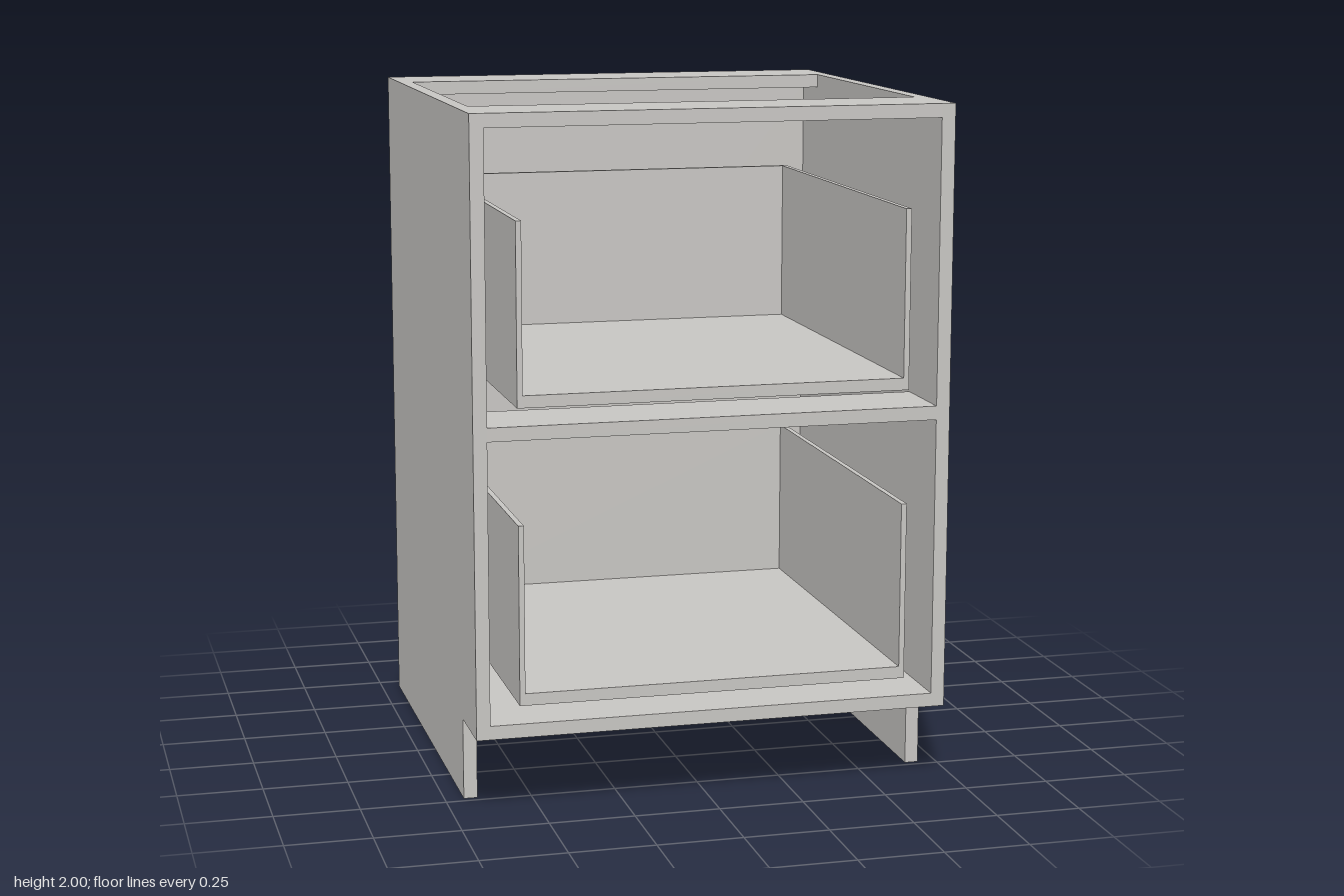
import * as THREE from 'three';

export function createModel() {
  const model = new THREE.Group();
  model.name = 'drawerCabinet';
  const panelGrey = new THREE.MeshStandardMaterial({ color: 0xc8c6c3 });
  panelGrey.name = 'panelGrey';

  const W = 0.695, D = 0.695, T = 0.04, IN = W - T;

  // Box given by its minimum and maximum corners
  function panel(name, [x0, y0, z0], [x1, y1, z1], parent = model) {
    const mesh = new THREE.Mesh(new THREE.BoxGeometry(x1 - x0, y1 - y0, z1 - z0), panelGrey);
    mesh.position.set((x0 + x1) / 2, (y0 + y1) / 2, (z0 + z1) / 2);
    mesh.name = name;
    parent.add(mesh);
  }

  // Side panels with a toe-kick notch, profile drawn in (z, y)
  const profile = new THREE.Shape([
    [-D, 0], [0.48, 0], [0.48, 0.24], [D, 0.24], [D, 2], [-D, 2],
  ].map(([z, y]) => new THREE.Vector2(-z, y)));
  const sideGeometry = new THREE.ExtrudeGeometry(profile, { depth: T, bevelEnabled: false });
  sideGeometry.rotateY(Math.PI / 2);
  for (const [name, x] of [['leftSide', IN], ['rightSide', -W]]) {
    const side = new THREE.Mesh(sideGeometry, panelGrey);
    side.position.x = x;
    side.name = name;
    model.add(side);
  }

  // Carcass: floor, top stretchers, divider rail and recessed back
  panel('floor', [-IN, 0.24, -D], [IN, 0.28, D]);
  panel('frontStretcher', [-IN, 1.96, 0.46], [IN, 2, D]);
  panel('backStretcher', [-IN, 1.96, -D], [IN, 2, -0.465]);
  panel('dividerRail', [-IN, 1.095, 0.46], [IN, 1.135, D]);
  panel('backPanel', [-IN, 0.28, -IN], [IN, 1.96, -0.615]);
  panel('upperBackRail', [-IN, 1.815, -D], [IN, 1.96, -IN]);
  panel('lowerBackRail', [-IN, 0.28, -D], [IN, 0.443, -IN]);

  // Open-fronted drawer boxes
  const dw = 0.57, dt = 0.016, back = -0.525, h = 0.52, base = 0.035;
  for (const [name, y] of [['upperDrawer', 1.186], ['lowerDrawer', 0.333]]) {
    const drawer = new THREE.Group();
    drawer.name = name;
    drawer.position.y = y;
    panel('drawerBottom', [-dw + dt, 0, back], [dw - dt, base, D], drawer);
    panel('drawerLeftSide', [dw - dt, 0, back], [dw, h, D], drawer);
    panel('drawerRightSide', [-dw, 0, back], [-dw + dt, h, D], drawer);
    panel('drawerBack', [-dw + dt, base, back], [dw - dt, h, back + dt], drawer);
    model.add(drawer);
  }
  return model;
}
